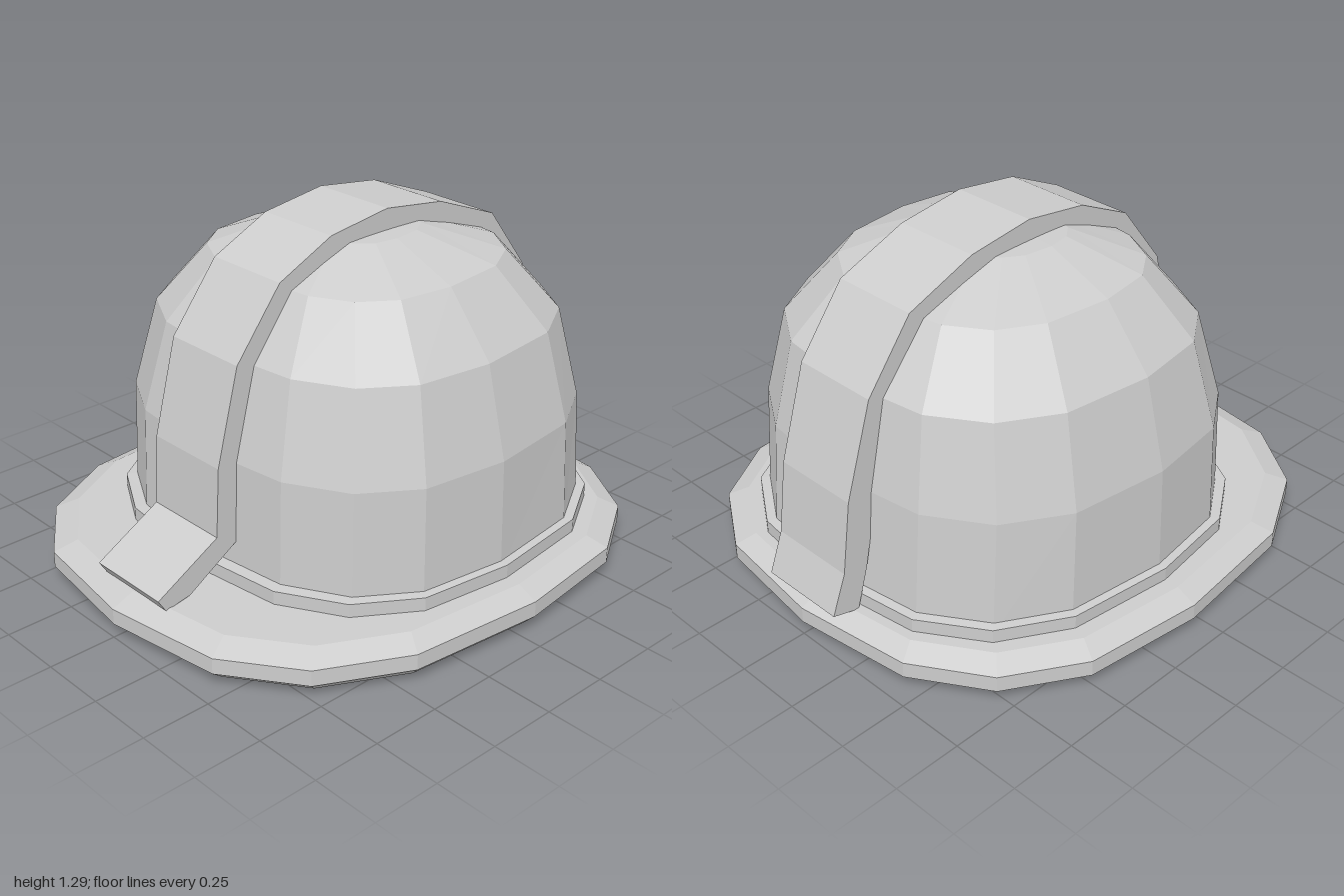
import * as THREE from 'three';

// One quarter of the squared-off oval, as fractions of its half axes
const QUARTER = [[1, 0], [0.942, 0.477], [0.765, 0.765], [0.48, 0.94]];
const OVAL = [];
for (let q = 0; q < 4; q++) {
  for (const [a, b] of QUARTER) {
    OVAL.push([[a, b], [-b, a], [-a, -b], [b, -a]][q]);
  }
}
const MID_Z = -0.063; // the widest line of every oval

// Loft through oval rings [y, halfWidth, frontReach, backReach], bottom to top
function loft(rings) {
  const n = OVAL.length;
  const positions = [];
  const point = (r, i) => {
    const [y, w, front, back] = rings[r];
    const [a, b] = OVAL[i % n];
    return [a * w, y, MID_Z + b * (b > 0 ? front : back)];
  };
  for (let r = 0; r < rings.length - 1; r++) {
    for (let i = 0; i < n; i++) {
      const a = point(r, i), b = point(r, i + 1);
      const c = point(r + 1, i + 1), d = point(r + 1, i);
      if (rings[r][1] > 0) positions.push(...a, ...d, ...b);
      if (rings[r + 1][1] > 0) positions.push(...b, ...d, ...c);
    }
  }
  const geometry = new THREE.BufferGeometry();
  geometry.setAttribute('position', new THREE.Float32BufferAttribute(positions, 3));
  geometry.computeVertexNormals();
  return geometry;
}

export function createModel() {
  const grey = new THREE.MeshStandardMaterial({ color: 0xcccccc, flatShading: true });
  grey.name = 'plain grey';
  const group = new THREE.Group();
  group.name = 'helmet';
  const add = (name, geometry) => {
    const mesh = new THREE.Mesh(geometry, grey);
    mesh.name = name;
    group.add(mesh);
  };

  // Wide bevelled brim with a closed underside
  add('brim', loft([
    [0, 0, 0, 0],
    [0, 0.87, 1.0, 0.877],
    [0.05, 0.92, 1.06, 0.937],
    [0.108, 0.92, 1.06, 0.937],
    [0.143, 0.845, 0.975, 0.867],
    [0.143, 0, 0, 0],
  ]));

  // Low band round the foot of the dome
  add('band', loft([
    [0.13, 0.79, 0.728, 0.832],
    [0.192, 0.79, 0.728, 0.832],
    [0.197, 0.74, 0.66, 0.78],
  ]));

  // Faceted dome
  add('dome', loft([
    [0.15, 0.762, 0.686, 0.802],
    [0.57, 0.752, 0.67, 0.768],
    [0.895, 0.67, 0.585, 0.70],
    [1.11, 0.49, 0.42, 0.52],
    [1.21, 0.24, 0.18, 0.225],
    [1.222, 0, 0, 0],
  ]));

  // Crest strap over the dome, side profile as [z, y]
  const profile = [
    [0.93, 0.185], [0.68, 0.325], [0.665, 0.575], [0.575, 0.915], [0.39, 1.15],
    [0.165, 1.255], [-0.09, 1.29], [-0.35, 1.255], [-0.62, 1.15], [-0.80, 0.915],
    [-0.905, 0.575], [-0.94, 0.31], [-0.995, 0.165],
    [-0.89, 0.137], [-0.845, 0.29], [-0.79, 0.56], [-0.71, 0.87], [-0.54, 1.07],
    [-0.27, 1.17], [0.1, 1.17], [0.31, 1.07], [0.49, 0.87], [0.57, 0.56],
    [0.59, 0.285], [0.80, 0.155], [0.90, 0.137],
  ];
  const shape = new THREE.Shape(profile.map(([z, y]) => new THREE.Vector2(z, y)));
  const strap = new THREE.ExtrudeGeometry(shape, { depth: 0.33, bevelEnabled: false });
  strap.translate(0, 0, -0.165);
  strap.rotateY(-Math.PI / 2);
  add('crestStrap', strap);

  return group;
}
